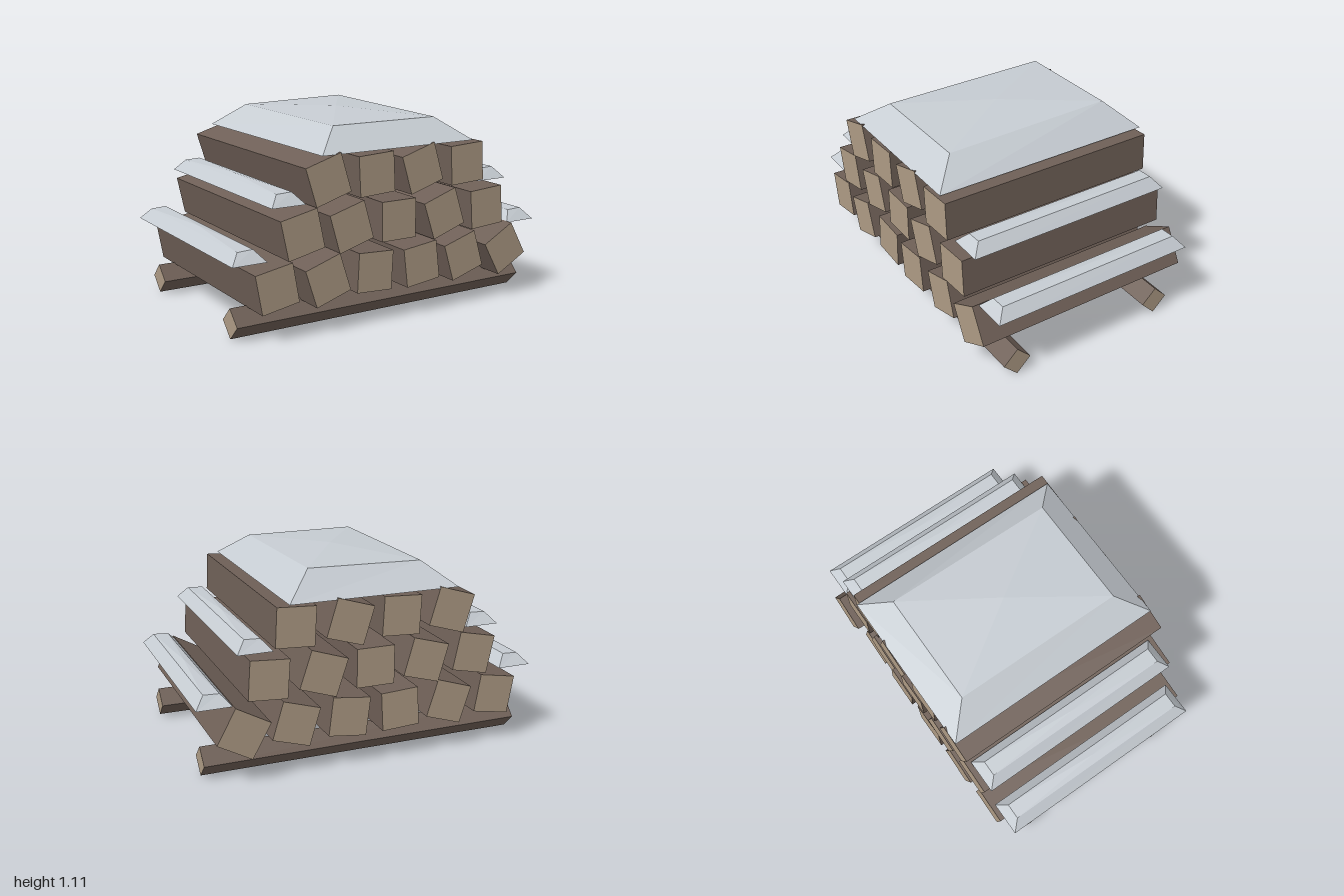
import * as THREE from 'three';

const bark = new THREE.MeshStandardMaterial({ color: 0x6f6057 });
bark.name = 'bark brown';
const cutWood = new THREE.MeshStandardMaterial({ color: 0xad9a84 });
cutWood.name = 'cut wood tan';
const snow = new THREE.MeshStandardMaterial({ color: 0xc6ccd2 });
snow.name = 'snow grey';

// Square timber along z: bark on the sides, cut wood on both ends
function timber(name, size, length) {
  const mats = [bark, bark, bark, bark, cutWood, cutWood];
  const mesh = new THREE.Mesh(new THREE.BoxGeometry(size, size, length), mats);
  mesh.name = name;
  return mesh;
}

// Snow slab: rectangular base, smaller top whose four corners rise to a central peak
function snowCap(name, base, top, cornerY, peakY) {
  const ring = ([x, z], ys) => [[-x, ys[0], z], [x, ys[1], z], [x, ys[2], -z], [-x, ys[3], -z]];
  const low = ring(base, [0, 0, 0, 0]);
  const high = ring(top, cornerY);
  const peak = [0, peakY, 0];
  const points = [];
  for (let i = 0; i < 4; i++) {
    const j = (i + 1) % 4;
    points.push(low[i], low[j], high[j], low[i], high[j], high[i]);
    points.push(high[i], high[j], peak);
  }
  points.push(low[0], low[2], low[1], low[0], low[3], low[2]);
  const geometry = new THREE.BufferGeometry();
  geometry.setAttribute('position', new THREE.Float32BufferAttribute(points.flat(), 3));
  geometry.computeVertexNormals();
  const mesh = new THREE.Mesh(geometry, snow);
  mesh.name = name;
  return mesh;
}

export function createModel() {
  const model = new THREE.Group();
  model.name = 'snowyLogPile';

  // Two bearers lying on their edges under the pile
  for (const [name, z] of [['frontBearer', 0.48], ['backBearer', -0.475]]) {
    const bearer = new THREE.Group();
    bearer.name = name;
    const beam = timber('beam', 0.12, 1.9);
    beam.rotation.z = Math.PI / 4;
    bearer.add(beam);
    bearer.rotation.y = Math.PI / 2;
    bearer.position.set(0, 0.085, z);
    model.add(bearer);
  }

  // Log rows: [x, tilt in degrees, back z, front z]
  const rows = [
    ['bottomLog', 0.29, [
      [-0.76, 10, -0.65, 0.66], [-0.46, 18, -0.66, 0.67], [-0.155, -3, -0.66, 0.66],
      [0.15, 7, -0.66, 0.67], [0.455, 17, -0.65, 0.66], [0.758, 29, -0.678, 0.667]]],
    ['middleLog', 0.56, [
      [-0.61, 12, -0.655, 0.665], [-0.307, 16, -0.665, 0.66], [-0.002, 0, -0.66, 0.66],
      [0.302, 18.5, -0.665, 0.67], [0.605, 4, -0.647, 0.67]]],
    ['topLog', 0.832, [
      [-0.457, 17, -0.665, 0.67], [-0.155, 3, -0.66, 0.67],
      [0.15, 17, -0.667, 0.665], [0.452, 3, -0.647, 0.673]]],
  ];
  for (const [name, y, logs] of rows) {
    logs.forEach(([x, tilt, back, front], i) => {
      const log = timber(name + (i + 1), 0.222, front - back);
      log.position.set(x, y, (front + back) / 2);
      log.rotation.z = THREE.MathUtils.degToRad(tilt);
      model.add(log);
    });
  }

  // Snow on the top and on the stepped edges of the pile
  const topSnow = snowCap('topSnow', [0.493, 0.665], [0.333, 0.507], [0.125, 0.125, 0.145, 0.13], 0.155);
  topSnow.position.y = 0.96;
  model.add(topSnow);
  for (const side of [1, -1]) {
    const label = side > 0 ? 'left' : 'right';
    for (const [name, x, y] of [['LowerSnow', 0.9, 0.433], ['UpperSnow', 0.67, 0.708]]) {
      const cap = snowCap(label + name, [0.1, 0.627], [0.045, 0.572], [0.06, 0.064, 0.066, 0.062], 0.073);
      cap.position.set(side * x, y, 0);
      model.add(cap);
    }
  }
  return model;
}
